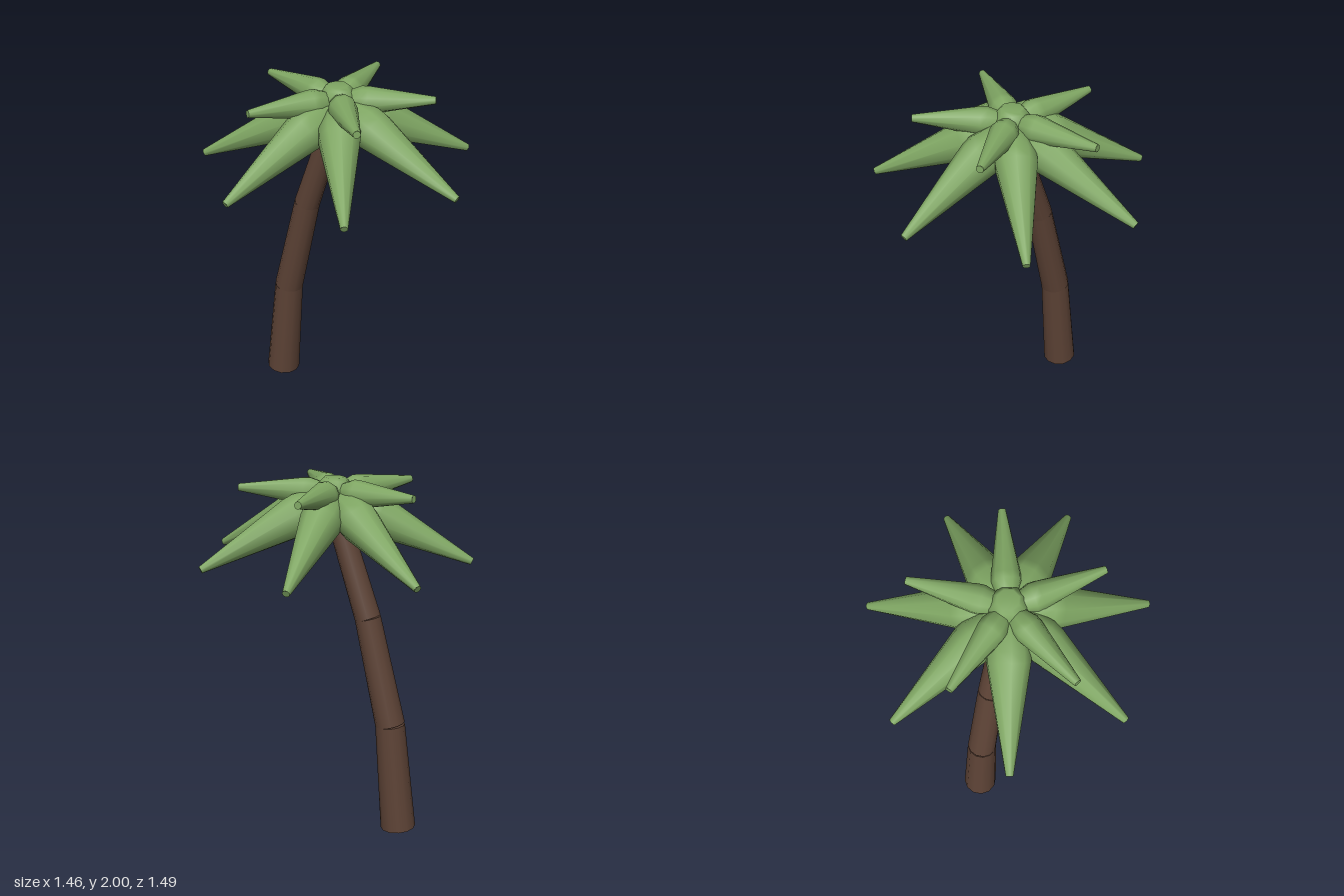
import * as THREE from 'three';
import { mergeGeometries } from 'three/addons/utils/BufferGeometryUtils.js';

const UP = new THREE.Vector3(0, 1, 0);

// Points a mesh modelled along +y from one point towards another
function aim(mesh, from, to) {
  mesh.position.copy(from);
  mesh.quaternion.setFromUnitVectors(UP, to.clone().sub(from).normalize());
  return mesh;
}

// Spindle-shaped frond along +y: narrow root, swollen third, blunt tip
function frondGeometry(length, radius, tip) {
  const profile = [
    [radius * 0.3, 0],
    [radius * 0.72, length * 0.13],
    [radius * 0.98, length * 0.25],
    [radius * 0.97, length * 0.32],
    [tip, length],
  ].map(([r, y]) => new THREE.Vector2(r, y));
  const body = new THREE.LatheGeometry(profile, 10);
  const cap = new THREE.CircleGeometry(tip, 10).rotateX(-Math.PI / 2).translate(0, length, 0);
  return mergeGeometries([body, cap]);
}

export function createModel() {
  const bark = new THREE.MeshStandardMaterial({ color: 0x5c4235 });
  bark.name = 'bark brown';
  const leaf = new THREE.MeshStandardMaterial({ color: 0x7fa663 });
  leaf.name = 'leaf green';

  const palm = new THREE.Group();
  palm.name = 'palmTree';

  // Trunk: three straight tapered logs, each leaning further
  const trunk = new THREE.Group();
  trunk.name = 'trunk';
  const joints = [[-0.475, 0.01], [-0.41, 0.635], [-0.258, 1.238], [-0.05, 1.82]]
    .map(([x, y]) => new THREE.Vector3(x, y, 0));
  const radii = [0.1, 0.084, 0.073, 0.062];
  for (let i = 0; i < 3; i++) {
    const length = joints[i].distanceTo(joints[i + 1]);
    const geo = new THREE.CylinderGeometry(radii[i + 1], radii[i], length, 12).translate(0, length / 2, 0);
    const log = aim(new THREE.Mesh(geo, bark), joints[i], joints[i + 1]);
    log.name = 'trunkSegment' + (i + 1);
    trunk.add(log);
  }
  palm.add(trunk);

  // Crown: a ring of drooping fronds below a smaller, level ring
  const crown = new THREE.Group();
  crown.name = 'crown';
  function ring(name, count, offset, rootY, tipY, reach, radius) {
    const root = new THREE.Vector3(-0.04, rootY, 0);
    const geo = frondGeometry(Math.hypot(reach, tipY - rootY), radius, 0.02);
    for (let i = 0; i < count; i++) {
      const a = offset + (i / count) * Math.PI * 2;
      const tip = new THREE.Vector3(root.x + Math.cos(a) * reach, tipY, Math.sin(a) * reach);
      const frond = aim(new THREE.Mesh(geo, leaf), root, tip);
      frond.name = name + (i + 1);
      crown.add(frond);
    }
  }
  ring('lowerFrond', 7, 0, 1.905, 1.55, 0.755, 0.117);
  ring('upperFrond', 5, -0.5, 1.915, 1.94, 0.52, 0.078);

  // Bud that fills the middle of the crown
  const budProfile = [[0, 1.78], [0.08, 1.8], [0.11, 1.88], [0.1, 1.95], [0.075, 1.985], [0.058, 2], [0, 2]]
    .map(([r, y]) => new THREE.Vector2(r, y));
  const bud = new THREE.Mesh(new THREE.LatheGeometry(budProfile, 8), leaf);
  bud.name = 'crownBud';
  bud.position.x = -0.04;
  crown.add(bud);
  palm.add(crown);

  return palm;
}
